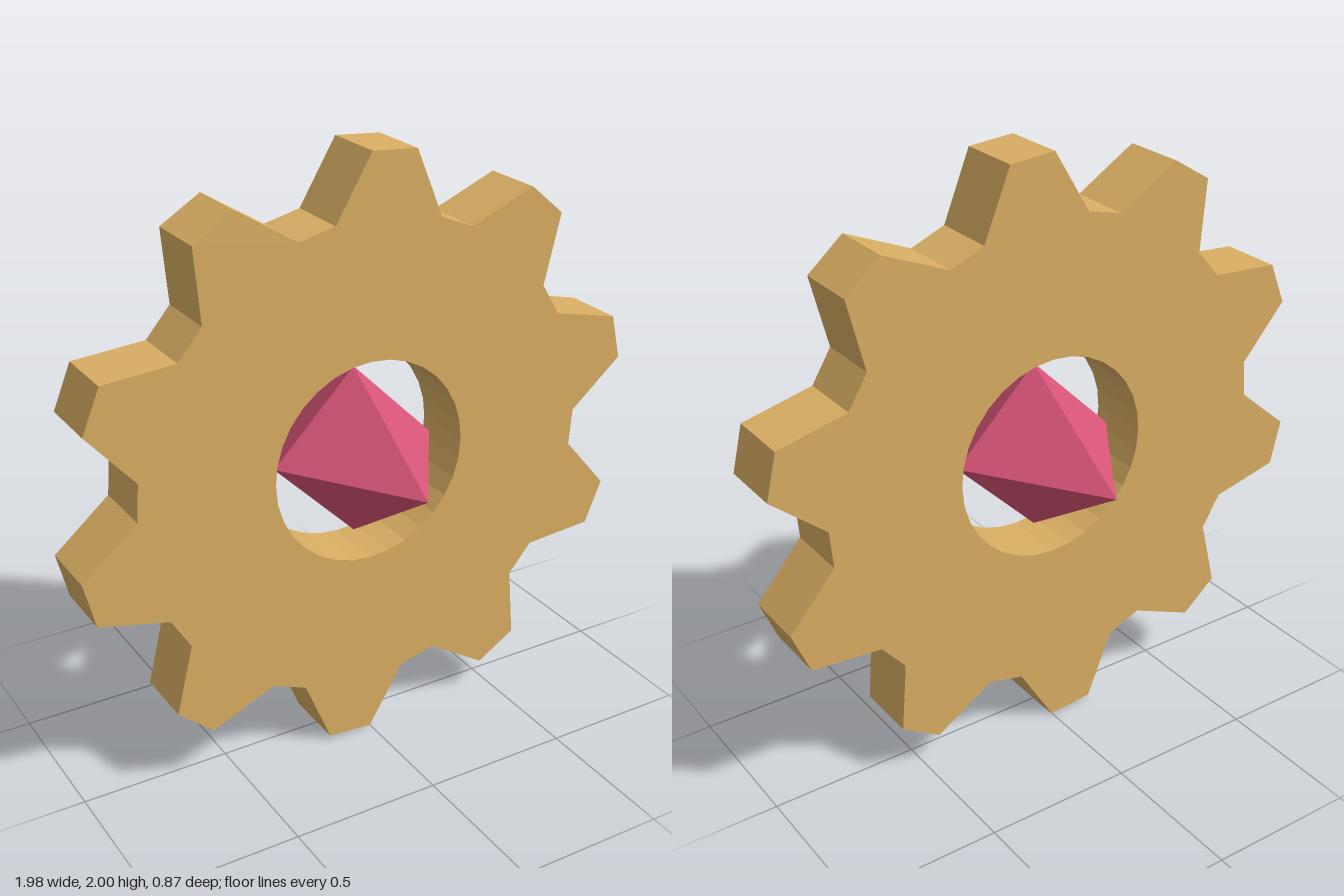
import * as THREE from 'three';

const TEETH = 10;
const TIP = 1, ROOT = 0.803, HOLE = 0.342, DEPTH = 0.216;

const gold = new THREE.MeshStandardMaterial({ color: 0xd9ae63 });
gold.name = 'gold';
const pink = new THREE.MeshStandardMaterial({ color: 0xd85577 });
pink.name = 'pink';

// Gear outline: four corners per tooth, two on the tip and two in the valley
function gearShape() {
  const step = (Math.PI * 2) / (TEETH * 4);
  const points = [];
  for (let i = 0; i < TEETH * 4; i++) {
    const r = i % 4 < 2 ? TIP : ROOT;
    points.push(new THREE.Vector2(r * Math.sin(i * step), r * Math.cos(i * step)));
  }
  const shape = new THREE.Shape(points);
  shape.holes.push(new THREE.Path().absarc(0, 0, HOLE, 0, Math.PI * 2, false));
  return shape;
}

export function createModel() {
  const model = new THREE.Group();
  model.name = 'gearWithGem';

  // Toothed wheel with a round hole
  const wheelGeometry = new THREE.ExtrudeGeometry(gearShape(), {
    depth: DEPTH, bevelEnabled: false, curveSegments: 16,
  });
  wheelGeometry.translate(0, 0, -DEPTH / 2);
  const wheel = new THREE.Mesh(wheelGeometry, gold);
  wheel.name = 'gearWheel';
  wheel.position.y = 1;
  model.add(wheel);

  // Eight-sided gem floating in the hole, stretched front to back
  const gemGeometry = new THREE.OctahedronGeometry(1);
  gemGeometry.scale(0.29, 0.29, 0.435);
  gemGeometry.computeVertexNormals();
  const gem = new THREE.Mesh(gemGeometry, pink);
  gem.name = 'gem';
  gem.position.y = 1;
  model.add(gem);

  return model;
}
